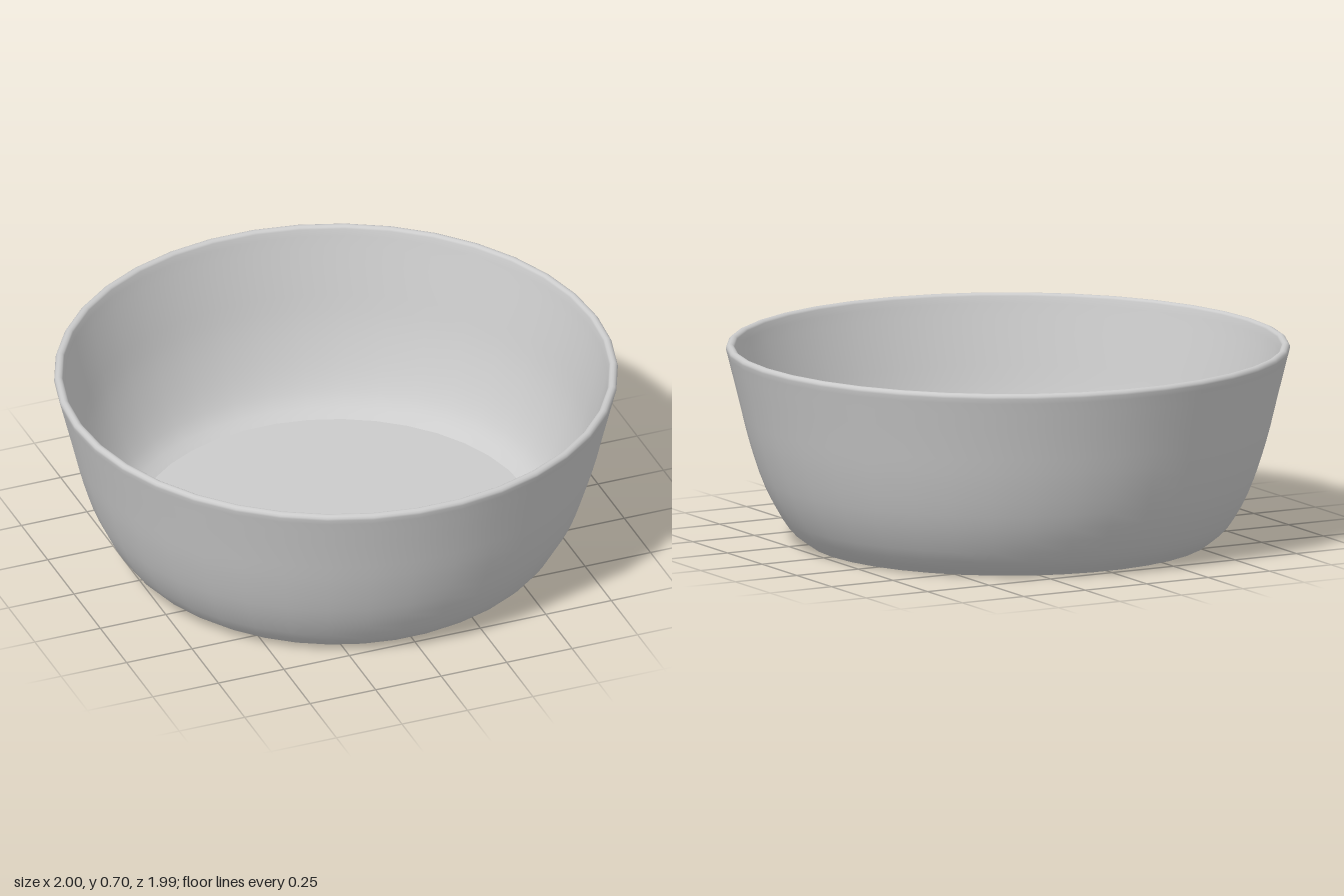
import * as THREE from 'three';

const SIDES = 38;
const FOOT = 0.715; // radius of the flat base and of the inner floor
const FLOOR_Y = 0.06;

// Smooth curve through a few [radius, height] points
const curve = (pts, n) =>
  new THREE.SplineCurve(pts.map(([r, y]) => new THREE.Vector2(r, y))).getPoints(n);

export function createModel() {
  const group = new THREE.Group();
  group.name = 'bowl';
  const material = new THREE.MeshStandardMaterial({ color: 0xcccccc });

  const add = (name, geometry) => {
    const mesh = new THREE.Mesh(geometry, material);
    mesh.name = name;
    group.add(mesh);
    return mesh;
  };

  // Wall: up the outside, over the rounded rim, down the inside
  const outside = curve([[FOOT, 0], [0.785, 0.06], [0.86, 0.19], [0.915, 0.35], [0.955, 0.51], [0.995, 0.67]], 15);
  const rim = curve([[1.0, 0.688], [0.997, 0.699], [0.987, 0.705], [0.976, 0.703], [0.969, 0.695]], 6);
  const inside = curve([[0.964, 0.67], [0.925, 0.51], [0.885, 0.35], [0.83, 0.2], [0.775, 0.105], [FOOT, FLOOR_Y]], 15);
  add('wall', new THREE.LatheGeometry([...outside, ...rim, ...inside], SIDES, Math.PI / 2));

  // Flat discs closing the wall, separate so that their edges stay crisp
  const disc = new THREE.CircleGeometry(FOOT, SIDES);
  add('base', disc.clone().rotateX(Math.PI / 2));
  add('floor', disc.clone().rotateX(-Math.PI / 2).translate(0, FLOOR_Y, 0));

  return group;
}
